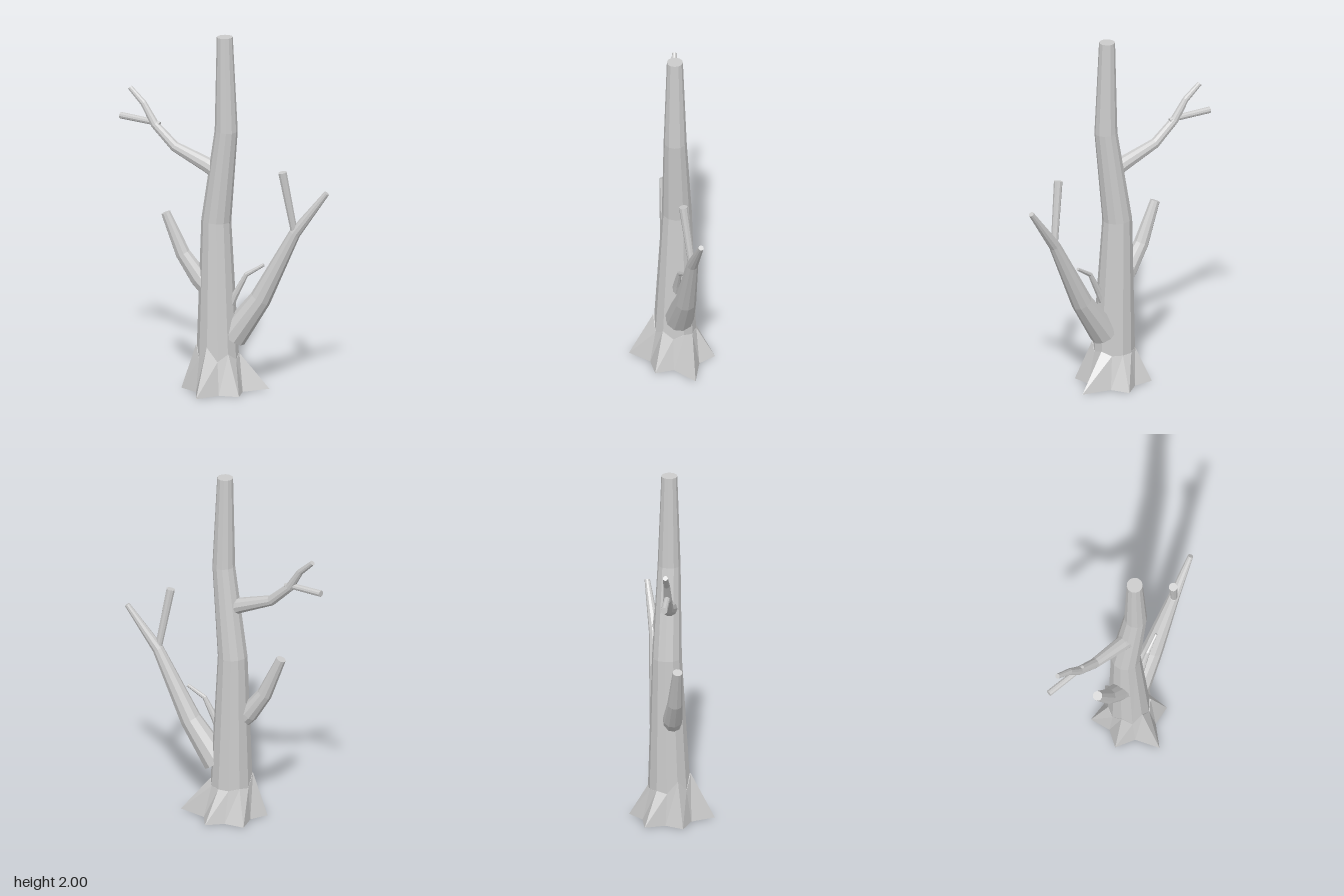
import * as THREE from 'three';

const bark = new THREE.MeshStandardMaterial({ color: 0xcccccc, flatShading: true });

// Closed skin over a list of rings (each a list of Vector3, counter-clockwise about the path)
function skin(name, rings) {
  const n = rings[0].length;
  const points = rings.flat();
  const index = [];
  for (let r = 0; r < rings.length - 1; r++) {
    for (let i = 0; i < n; i++) {
      const a = r * n + i, b = r * n + (i + 1) % n;
      index.push(a, b, b + n, a, b + n, a + n);
    }
  }
  // end caps as fans around each ring's centre
  for (const r of [0, rings.length - 1]) {
    const centre = new THREE.Vector3();
    rings[r].forEach(p => centre.addScaledVector(p, 1 / n));
    const c = points.push(centre) - 1;
    for (let i = 0; i < n; i++) {
      const a = r * n + i, b = r * n + (i + 1) % n;
      if (r === 0) index.push(c, b, a);
      else index.push(c, a, b);
    }
  }
  const geometry = new THREE.BufferGeometry().setFromPoints(points);
  geometry.setIndex(index);
  const flat = geometry.toNonIndexed();
  flat.computeVertexNormals();
  const mesh = new THREE.Mesh(flat, bark);
  mesh.name = name;
  return mesh;
}

// Tapered limb along stations [x, y, z, radius], mitred at each bend
function limb(name, stations, sides = 10) {
  const centres = stations.map(s => new THREE.Vector3(s[0], s[1], s[2]));
  const last = centres.length - 1;
  const dir = i => centres[i + 1].clone().sub(centres[i]).normalize();
  const rings = centres.map((c, k) => {
    const t = dir(Math.min(k, last - 1)).add(dir(Math.max(k - 1, 0))).normalize();
    const u = new THREE.Vector3(0, 0, 1).addScaledVector(t, -t.z).normalize();
    const v = t.clone().cross(u);
    return Array.from({ length: sides }, (_, i) => {
      const a = i / sides * Math.PI * 2, r = stations[k][3];
      return c.clone().addScaledVector(u, r * Math.cos(a)).addScaledVector(v, r * Math.sin(a));
    });
  });
  return skin(name, rings);
}

// Six pointed roots: star outline on the ground rising to the trunk
function rootFlare() {
  // [x, z, height where the ridge meets the trunk], from right-back going round
  const tips = [
    [0.25, -0.145, 0.2], [0.01, -0.235, 0.18], [-0.175, -0.13, 0.19],
    [-0.175, 0.08, 0.25], [0.01, 0.235, 0.26], [0.19, 0.08, 0.22],
  ];
  const base = [], top = [];
  tips.forEach(([x, z, h], k) => {
    const valley = k * Math.PI / 3, ridge = valley + Math.PI / 6;
    base.push(new THREE.Vector3(0.01 + 0.145 * Math.cos(valley), 0, -0.02 - 0.155 * Math.sin(valley)));
    base.push(new THREE.Vector3(x, 0, z));
    top.push(new THREE.Vector3(0.117 * Math.cos(valley), 0.18, -0.014 - 0.117 * Math.sin(valley)));
    top.push(new THREE.Vector3(0.118 * Math.cos(ridge), h, -0.014 - 0.118 * Math.sin(ridge)));
  });
  return skin('rootFlare', [base, top]);
}

export function createModel() {
  const tree = new THREE.Group();
  tree.name = 'bareTree';
  tree.add(
    rootFlare(),
    limb('trunk', [
      [0, 0.165, -0.014, 0.117], [-0.016, 0.95, -0.025, 0.082],
      [0.05, 1.47, -0.02, 0.063], [0.042, 2, -0.018, 0.044],
    ], 12),

    // upper branch on the right side, with a fork
    limb('upperBranch', [
      [-0.01, 1.235, -0.012, 0.045], [-0.06, 1.26, -0.008, 0.042], [-0.26, 1.34, 0.008, 0.029],
      [-0.38, 1.45, 0.018, 0.024], [-0.45, 1.56, 0.02, 0.018], [-0.535, 1.638, 0.022, 0.014],
    ]),
    limb('upperBranchTwig', [[-0.35, 1.455, 0.015, 0.012], [-0.42, 1.463, 0.018, 0.017], [-0.595, 1.471, 0.022, 0.018]]),

    // short stub on the right side
    limb('stubBranch', [
      [-0.05, 0.57, 0.005, 0.055], [-0.1, 0.62, 0.015, 0.053], [-0.19, 0.75, 0.038, 0.042],
      [-0.285, 0.975, 0.062, 0.027],
    ]),

    // long low branch on the left side, with a fork
    limb('lowBranch', [
      [0.075, 0.3, -0.045, 0.08], [0.228, 0.525, -0.088, 0.059],
      [0.415, 0.91, -0.138, 0.032], [0.583, 1.148, -0.197, 0.015],
    ]),
    limb('lowBranchFork', [[0.418, 0.89, -0.138, 0.019], [0.368, 1.262, -0.085, 0.024]]),

    // thin twig above the low branch
    limb('thinTwig', [
      [0.07, 0.47, -0.025, 0.024], [0.1, 0.54, -0.032, 0.02],
      [0.16, 0.66, -0.05, 0.013], [0.25, 0.72, -0.085, 0.009],
    ], 8),
  );
  return tree;
}
